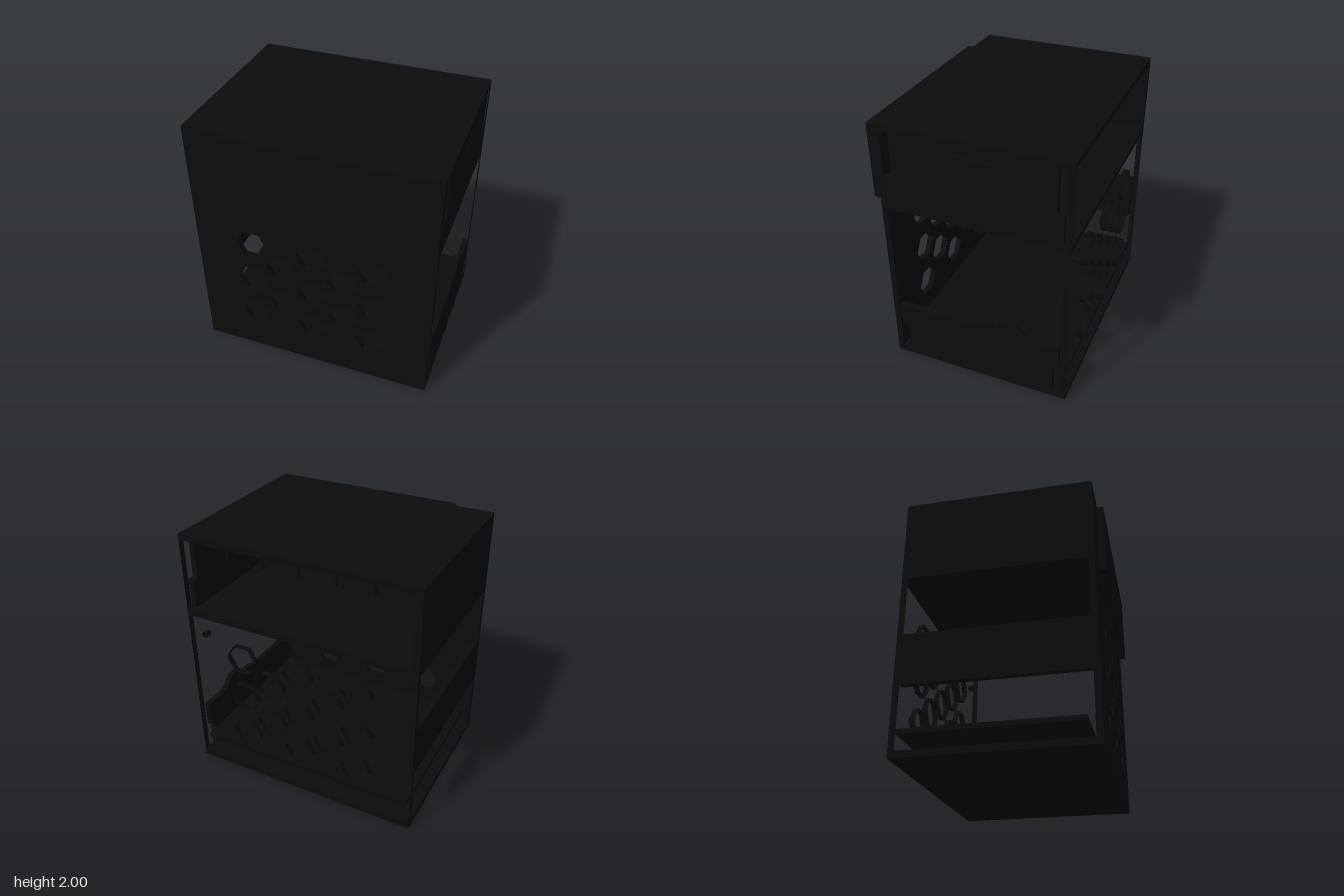
import * as THREE from 'three';

export function createModel() {
  const model = new THREE.Group();
  const black = new THREE.MeshStandardMaterial({ color: 0x0c0c0c });
  const blackSheet = new THREE.MeshStandardMaterial({ color: 0x0c0c0c, side: THREE.DoubleSide });
  black.name = 'black';
  blackSheet.name = 'black sheet';

  const add = (name, geometry, material = black) => {
    const mesh = new THREE.Mesh(geometry, material);
    mesh.name = name;
    model.add(mesh);
    return mesh;
  };
  // Box given by its lower and upper bounds on each axis
  const box = (name, x0, x1, y0, y1, z0, z1) =>
    add(name, new THREE.BoxGeometry(x1 - x0, y1 - y0, z1 - z0))
      .position.set((x0 + x1) / 2, (y0 + y1) / 2, (z0 + z1) / 2);
  const outline = (points) => new THREE.Shape(points.map(([a, b]) => new THREE.Vector2(a, b)));
  // Side plate from [z, y] points, thickness along x
  const sidePlate = (name, points, x0, depth, holes = []) => {
    const toShape = (list) => outline(list.map(([z, y]) => [-z, y]));
    const shape = toShape(points);
    shape.holes = holes.map(toShape);
    const geometry = new THREE.ExtrudeGeometry(shape, { depth, bevelEnabled: false });
    add(name, geometry.rotateY(Math.PI / 2).translate(x0, 0, 0));
  };

  const W = 0.925, T = 0.045, BACK = -0.725, FRONT = 0.68;

  // Honeycomb pattern shared by the front and the back
  const hexCentres = [];
  for (const x of [-0.475, 0, 0.475]) for (const y of [0.385, 0.73, 1.07]) hexCentres.push([x, y]);
  for (const x of [-0.24, 0.24]) for (const y of [0.56, 0.9]) hexCentres.push([x, y]);
  const R = 0.125;

  // Front plate with hexagonal vents
  const front = outline([[-W, 0], [W, 0], [W, 2], [-W, 2]]);
  for (const [cx, cy] of hexCentres) {
    const corners = [];
    for (let i = 0; i < 6; i++) {
      const a = -i * Math.PI / 3;
      corners.push([cx + R * Math.cos(a), cy + R * Math.sin(a)]);
    }
    front.holes.push(outline(corners));
  }
  add('frontPlate', new THREE.ExtrudeGeometry(front, { depth: T, bevelEnabled: false })
    .translate(0, 0, FRONT - T));

  // Raised upper front cover
  box('frontCover', -0.61, W, 1.43, 2, FRONT, 0.727);

  // Horizontal plates
  box('topPlate', -W, W, 1.955, 2, BACK, FRONT);
  box('middleShelf', -W, W, 1.35, 1.395, BACK, FRONT);
  box('bottomPlate', -W, W, 0, 0.05, BACK, FRONT);
  box('lowShelf', -0.88, 0.88, 0.18, 0.215, -0.7, 0.58);

  // Right-hand plate: solid top, cross band and thin posts
  box('sideUpperPanel', -W, -W + T, 1.395, 1.955, BACK, FRONT - T);
  box('sideBand', -W, -W + T, 0.51, 0.895, BACK + T, FRONT - T);

  // Opposite side: tabbed panels, the upper one with a finger slot
  sidePlate('upperTabbedPanel', [
    [0.57, 1.955], [0.57, 1.62], [0.63, 1.62], [0.63, 1.395],
    [-0.67, 1.395], [-0.67, 1.62], [-0.62, 1.62], [-0.62, 1.955],
  ], W - T, T, [[[0.12, 1.87], [0.12, 1.89], [-0.19, 1.89], [-0.19, 1.87]]]);
  sidePlate('lowerTabbedPanel', [
    [0.57, 0.06], [0.57, 0.28], [0.62, 0.28], [0.62, 0.48],
    [0.01, 0.48], [-0.05, 0.51], [-0.13, 0.51], [-0.15, 0.5], [-0.17, 0.51],
    [-0.21, 0.57], [-0.33, 0.57], [-0.39, 0.51], [-0.44, 0.48],
    [-0.66, 0.48], [-0.66, 0.28], [-0.62, 0.28], [-0.62, 0.06],
  ], W - T, T);

  // Open back: narrow border and free-standing vent rims
  const B = 0.005;
  for (const s of [-1, 1]) {
    box('backPost', s * W - (s > 0 ? B : 0), s * W + (s > 0 ? 0 : B), 0, 2, BACK, BACK + T);
  }
  const rim = (name, radius, sides, x, y) => {
    const geometry = new THREE.CylinderGeometry(radius, radius, T, sides, 1, true);
    if (sides === 6) geometry.rotateY(Math.PI / 6);
    add(name, geometry.rotateX(Math.PI / 2), blackSheet).position.set(x, y, BACK + T / 2);
  };
  for (const [x, y] of hexCentres) rim('backVentRim', R, 6, x, y);
  rim('backScrewRim', 0.025, 16, 0.79, 1.207);

  // Small clips inside the upper bay
  for (let i = 0; i < 5; i++) {
    const x = 0.59 - i * 0.285;
    box('clip', x - 0.01, x + 0.01, 1.82, 1.9, -0.63, -0.6);
  }
  return model;
}
